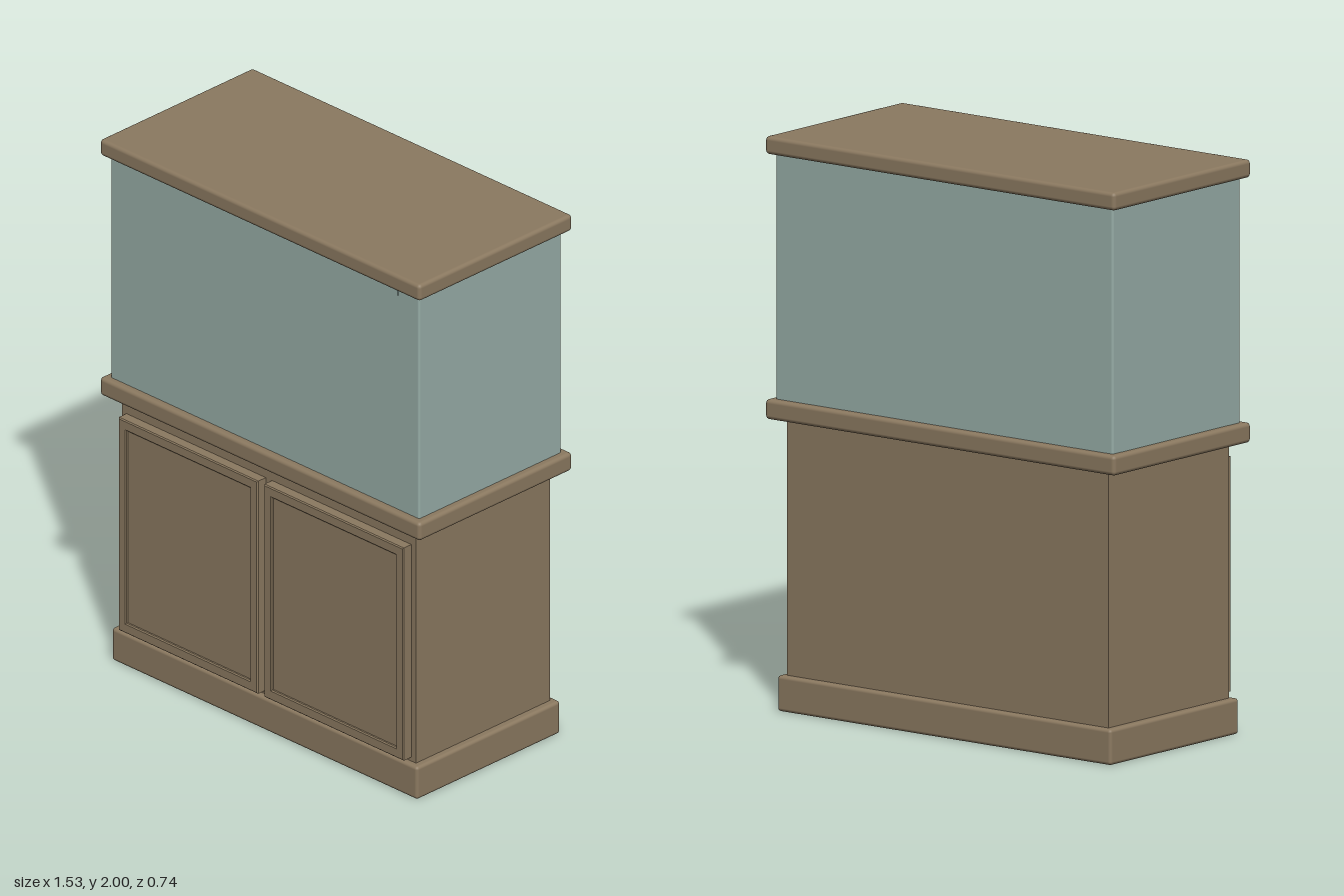
import * as THREE from 'three';
import { RoundedBoxGeometry } from 'three/addons/geometries/RoundedBoxGeometry.js';

export function createModel() {
  const model = new THREE.Group();
  model.name = 'aquariumCabinet';
  const wood = new THREE.MeshStandardMaterial({ color: 0x8b7960 });
  wood.name = 'wood';
  const glass = new THREE.MeshStandardMaterial({ color: 0x97ada7 });
  glass.name = 'glass';

  function add(name, geometry, material, x, y, z, parent = model) {
    const mesh = new THREE.Mesh(geometry, material);
    mesh.name = name;
    mesh.position.set(x, y, z);
    parent.add(mesh);
    return mesh;
  }

  // Softly rounded block standing between two heights
  function slab(name, width, depth, y0, y1, radius, material) {
    const geometry = new RoundedBoxGeometry(width, y1 - y0, depth, 2, radius);
    return add(name, geometry, material, 0, (y0 + y1) / 2, 0);
  }

  // Cabinet
  slab('plinth', 1.465, 0.695, 0, 0.125, 0.012, wood);
  add('cabinetBody', new THREE.BoxGeometry(1.41, 0.92, 0.65), wood, 0, 0.57, 0);
  slab('worktop', 1.535, 0.742, 1.015, 1.085, 0.014, wood);

  // Tank and lid
  slab('tank', 1.48, 0.69, 1.07, 1.95, 0.008, glass);
  add('tankRim', new THREE.BoxGeometry(1.28, 0.035, 0.008), glass, 0, 1.925, 0.344);
  slab('lid', 1.535, 0.742, 1.937, 2, 0.014, wood);

  // Rectangle centred on the origin
  function rect(PathType, w, h) {
    return new PathType([[-w, -h], [w, -h], [w, h], [-w, h]]
      .map(([x, y]) => new THREE.Vector2(x / 2, y / 2)));
  }

  // Pair of framed doors with recessed panels
  const frameShape = rect(THREE.Shape, 0.668, 0.818);
  frameShape.holes.push(rect(THREE.Path, 0.595, 0.74));
  const bevel = 0.004;
  const frame = new THREE.ExtrudeGeometry(frameShape, {
    depth: 0.04 - bevel, bevelThickness: bevel, bevelSize: bevel,
    bevelOffset: -bevel, bevelSegments: 1,
  });
  const panel = new THREE.BoxGeometry(0.61, 0.755, 0.034);
  for (const [side, label] of [[1, 'left'], [-1, 'right']]) {
    const door = new THREE.Group();
    door.name = label + 'Door';
    door.position.set(side * 0.349, 0.549, 0.325);
    add('doorFrame', frame, wood, 0, 0, 0, door);
    add('doorPanel', panel, wood, 0, 0, 0.013, door);
    model.add(door);
  }
  return model;
}
